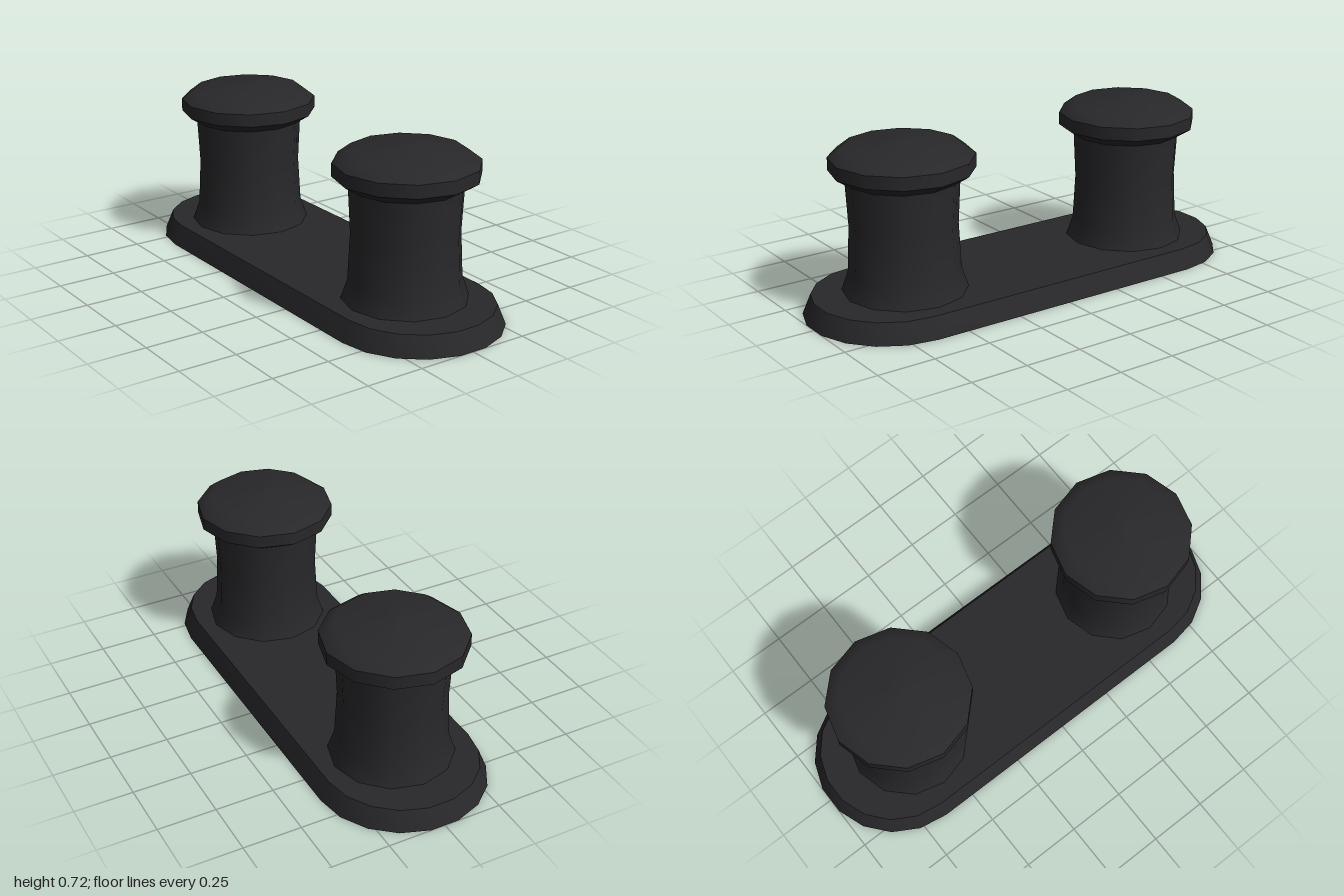
import * as THREE from 'three';
import { toCreasedNormals } from 'three/addons/utils/BufferGeometryUtils.js';

const material = new THREE.MeshStandardMaterial({ color: 0x28282b });

// Rounded-end outline: two half circles of 9 steps each, joined by straight sides
function outline(radius, y) {
  const points = [];
  for (const side of [1, -1]) {
    for (let i = 0; i <= 9; i++) {
      const a = -Math.PI / 2 + (i * Math.PI) / 9;
      points.push([side * (0.645 + radius * Math.cos(a)), y, side * radius * Math.sin(a)]);
    }
  }
  return points;
}

// Tapered plate, closed above and below
function plateGeometry() {
  const bottom = outline(0.36, 0);
  const top = outline(0.325, 0.085);
  const positions = [];
  const triangle = (a, b, c) => positions.push(...a, ...b, ...c);
  bottom.forEach((b, i) => {
    const j = (i + 1) % bottom.length;
    triangle(b, top[i], top[j]);
    triangle(b, top[j], bottom[j]);
    triangle([0, 0.085, 0], top[j], top[i]);
    triangle([0, 0, 0], b, bottom[j]);
  });
  const geometry = new THREE.BufferGeometry();
  geometry.setAttribute('position', new THREE.Float32BufferAttribute(positions, 3));
  return toCreasedNormals(geometry, Math.PI / 6);
}

// Each profile is its own smooth lathe, so the rims between them stay sharp
const profiles = {
  shaft: [[0.26, 0.085], [0.232, 0.168], [0.222, 0.36], [0.232, 0.556]],
  headUnderside: [[0.232, 0.556], [0.297, 0.597]],
  headRim: [[0.297, 0.597], [0.297, 0.652]],
  headDome: [[0.297, 0.652], [0.24, 0.695], [0, 0.718]],
};

function createPost(name, x) {
  const post = new THREE.Group();
  post.name = name;
  post.position.x = x;
  for (const [part, profile] of Object.entries(profiles)) {
    const points = profile.map(([r, y]) => new THREE.Vector2(r, y));
    const mesh = new THREE.Mesh(new THREE.LatheGeometry(points, 12), material);
    mesh.name = part;
    post.add(mesh);
  }
  return post;
}

export function createModel() {
  const model = new THREE.Group();
  model.name = 'mooringBollard';
  const plate = new THREE.Mesh(plateGeometry(), material);
  plate.name = 'basePlate';
  model.add(plate, createPost('leftPost', 0.575), createPost('rightPost', -0.575));
  return model;
}
